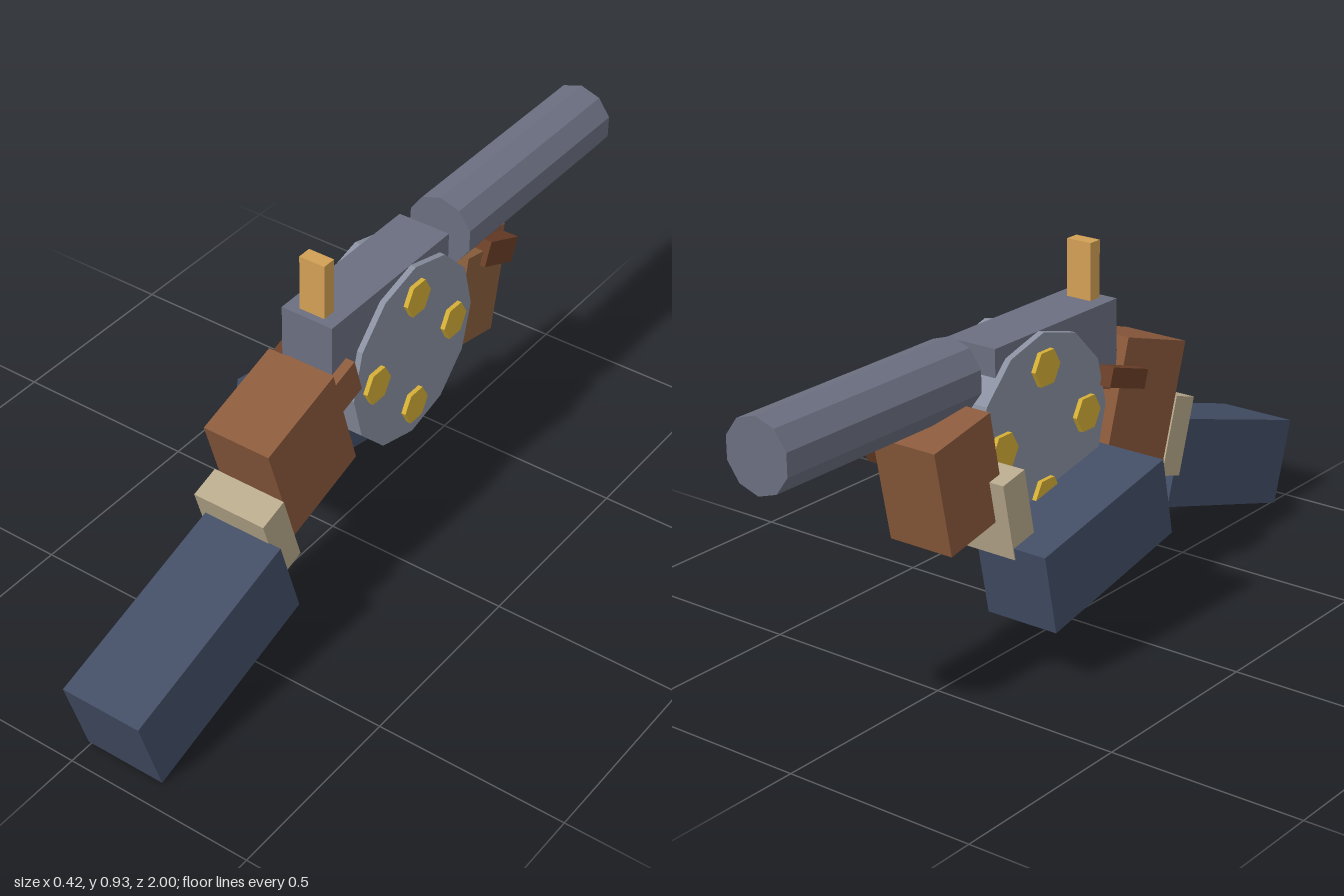
import * as THREE from 'three';

const mat = (color) => new THREE.MeshStandardMaterial({ color, flatShading: true });
const M = {
  steel: mat(0x6b6f80),
  drum: mat(0x8a90a0),
  brass: mat(0xd4af37),
  sight: mat(0xd2a055),
  glove: mat(0x8b5a3c),
  finger: mat(0x8a5f3c),
  thumb: mat(0x6b3f28),
  cuff: mat(0xb8a98c),
  sleeve: mat(0x434e66),
};

const GUN_X = 0.058; // centre plane of the launcher

function add(group, name, geometry, material, x, y, z, rx = 0) {
  const mesh = new THREE.Mesh(geometry, material);
  mesh.name = name;
  mesh.position.set(x, y, z);
  mesh.rotation.x = rx;
  group.add(mesh);
  return mesh;
}

// Box spanning x0..x1, centred at y, z, with height h and depth d, pitched by rx
function block(group, name, material, x0, x1, y, z, h, d, rx = 0) {
  return add(group, name, new THREE.BoxGeometry(x1 - x0, h, d), material, (x0 + x1) / 2, y, z, rx);
}

function createGun() {
  const gun = new THREE.Group();
  gun.name = 'gun';

  // Ten-sided barrel, with an edge along the top
  const barrel = new THREE.CylinderGeometry(0.091, 0.091, 0.64, 10).rotateX(-Math.PI / 2);
  add(gun, 'barrel', barrel, M.steel, GUN_X, 0.73, -0.68);

  block(gun, 'receiver', M.steel, -0.013, 0.13, 0.695, -0.055, 0.18, 0.47);
  block(gun, 'rearSight', M.sight, 0.024, 0.094, 0.85, 0.142, 0.16, 0.037);
  block(gun, 'trigger', M.steel, 0.038, 0.078, 0.514, 0.1, 0.028, 0.16);

  // Drum with four hexagonal rounds showing on both faces
  const drum = new THREE.CylinderGeometry(0.245, 0.245, 0.175, 12).rotateZ(Math.PI / 2);
  add(gun, 'drum', drum, M.drum, GUN_X, 0.54, -0.13);
  const round = new THREE.CylinderGeometry(0.048, 0.048, 0.199, 6).rotateZ(Math.PI / 2);
  for (let i = 0; i < 4; i++) {
    const a = (i * Math.PI) / 2;
    add(gun, 'round', round, M.brass, GUN_X, 0.54 + 0.16 * Math.sin(a), -0.13 + 0.16 * Math.cos(a));
  }
  return gun;
}

// Arm at the back, holding the grip
function createRearArm() {
  const arm = new THREE.Group();
  arm.name = 'rearArm';
  const t = 0.298;
  block(arm, 'sleeve', M.sleeve, -0.008, 0.208, 0.191, 0.708, 0.232, 0.54, t);
  block(arm, 'cuff', M.cuff, -0.024, 0.175, 0.353, 0.435, 0.207, 0.081, t);
  block(arm, 'hand', M.glove, -0.027, 0.157, 0.495, 0.289, 0.307, 0.257, t);
  block(arm, 'fingers', M.finger, 0.0, 0.13, 0.342, 0.222, 0.06, 0.174, t);
  block(arm, 'triggerFinger', M.glove, 0.0, 0.155, 0.61, 0.15, 0.1, 0.08, t);
  block(arm, 'thumb', M.thumb, -0.06, -0.02, 0.593, 0.17, 0.05, 0.15, t);
  return arm;
}

// Arm crossing under the drum, supporting the front
function createFrontArm() {
  const arm = new THREE.Group();
  arm.name = 'frontArm';
  const t = -0.2;
  block(arm, 'sleeve', M.sleeve, -0.21, -0.01, 0.289, -0.109, 0.208, 0.475, t);
  block(arm, 'cuff', M.cuff, -0.12, 0.065, 0.42, -0.34, 0.2, 0.08, t);
  block(arm, 'hand', M.glove, -0.08, 0.1, 0.525, -0.465, 0.27, 0.2, t);
  block(arm, 'fingers', M.finger, 0.09, 0.13, 0.52, -0.44, 0.25, 0.17, t);
  block(arm, 'thumb', M.thumb, 0.09, 0.145, 0.616, -0.508, 0.066, 0.134, -0.4);
  return arm;
}

export function createModel() {
  const model = new THREE.Group();
  model.name = 'gunWithArms';
  model.add(createGun(), createRearArm(), createFrontArm());
  return model;
}
